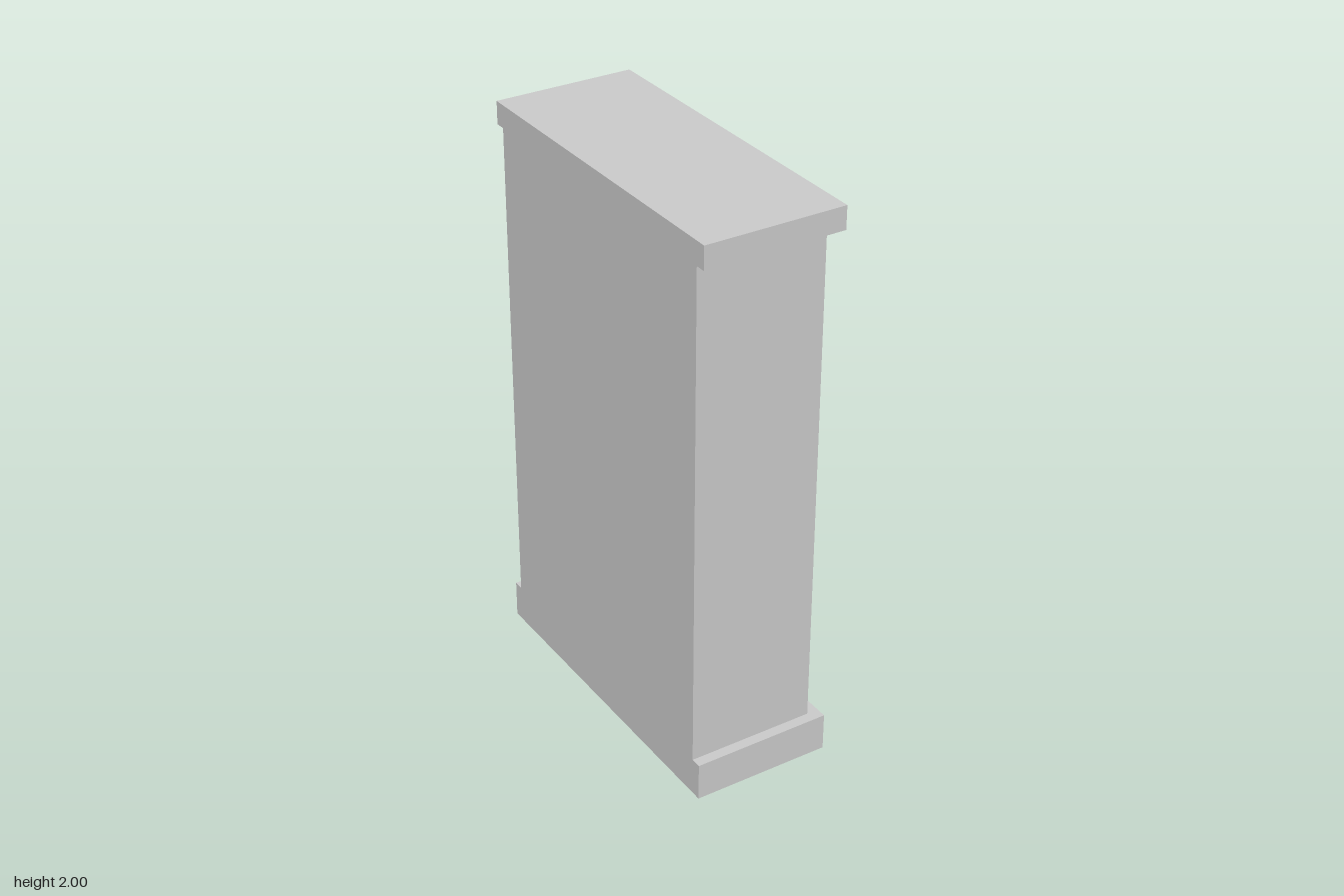
import * as THREE from 'three';

const BACK = -0.247, INNER_BACK = -0.126, FRAME_BACK = 0.175, FRAME_FRONT = 0.205, FRONT = 0.247;
const BODY_HALF = 0.57, CAVITY_HALF = 0.512, OPENING_HALF = 0.457;
const BASE_TOP = 0.135, FLOOR = 0.2, CEILING = 1.86, TOP_UNDER = 1.92;

export function createModel() {
  const group = new THREE.Group();
  const material = new THREE.MeshStandardMaterial({ color: 0xcccccc });

  const add = (name, geometry) => {
    const mesh = new THREE.Mesh(geometry, material);
    mesh.name = name;
    group.add(mesh);
    return mesh;
  };

  // Board spanning x0..x1 and y0..y1, centred on z
  const board = (name, x0, x1, y0, y1, halfZ) =>
    add(name, new THREE.BoxGeometry(x1 - x0, y1 - y0, halfZ * 2))
      .position.set((x0 + x1) / 2, (y0 + y1) / 2, 0);

  // Rectangular surround of the cabinet body with a hole, spanning x0..x1
  const rectangle = (path, half, y0, y1) =>
    path.moveTo(-half, y0).lineTo(half, y0).lineTo(half, y1).lineTo(-half, y1).closePath();
  const surround = (name, x0, x1, holeHalf) => {
    const shape = rectangle(new THREE.Shape(), BODY_HALF, BASE_TOP, TOP_UNDER);
    shape.holes.push(rectangle(new THREE.Path(), holeHalf, FLOOR, CEILING));
    const geometry = new THREE.ExtrudeGeometry(shape, { depth: x1 - x0, bevelEnabled: false });
    geometry.rotateY(Math.PI / 2).translate(x0, 0, 0);
    add(name, geometry);
  };

  // Plinth and overhanging top, flush with the back
  board('plinth', BACK, FRONT, 0, BASE_TOP, 0.607);
  board('topSlab', BACK, FRONT, TOP_UNDER, 2, 0.607);

  // Cabinet body and narrower face frame, open towards +x
  board('backPanel', BACK, INNER_BACK, BASE_TOP, TOP_UNDER, BODY_HALF);
  surround('carcass', INNER_BACK, FRAME_BACK, CAVITY_HALF);
  surround('faceFrame', FRAME_BACK, FRAME_FRONT, OPENING_HALF);

  // Shelves, each with a raised front lip
  const lipBack = FRAME_BACK - 0.025;
  for (const y of [0.845, 1.36]) {
    board('shelf', INNER_BACK, lipBack, y, y + 0.037, CAVITY_HALF);
    board('shelfLip', lipBack, FRAME_BACK, y, y + 0.118, CAVITY_HALF);
  }

  // Retaining rail above the cabinet floor
  board('lowerRail', lipBack, FRAME_BACK, 0.365, 0.44, CAVITY_HALF);

  return group;
}
